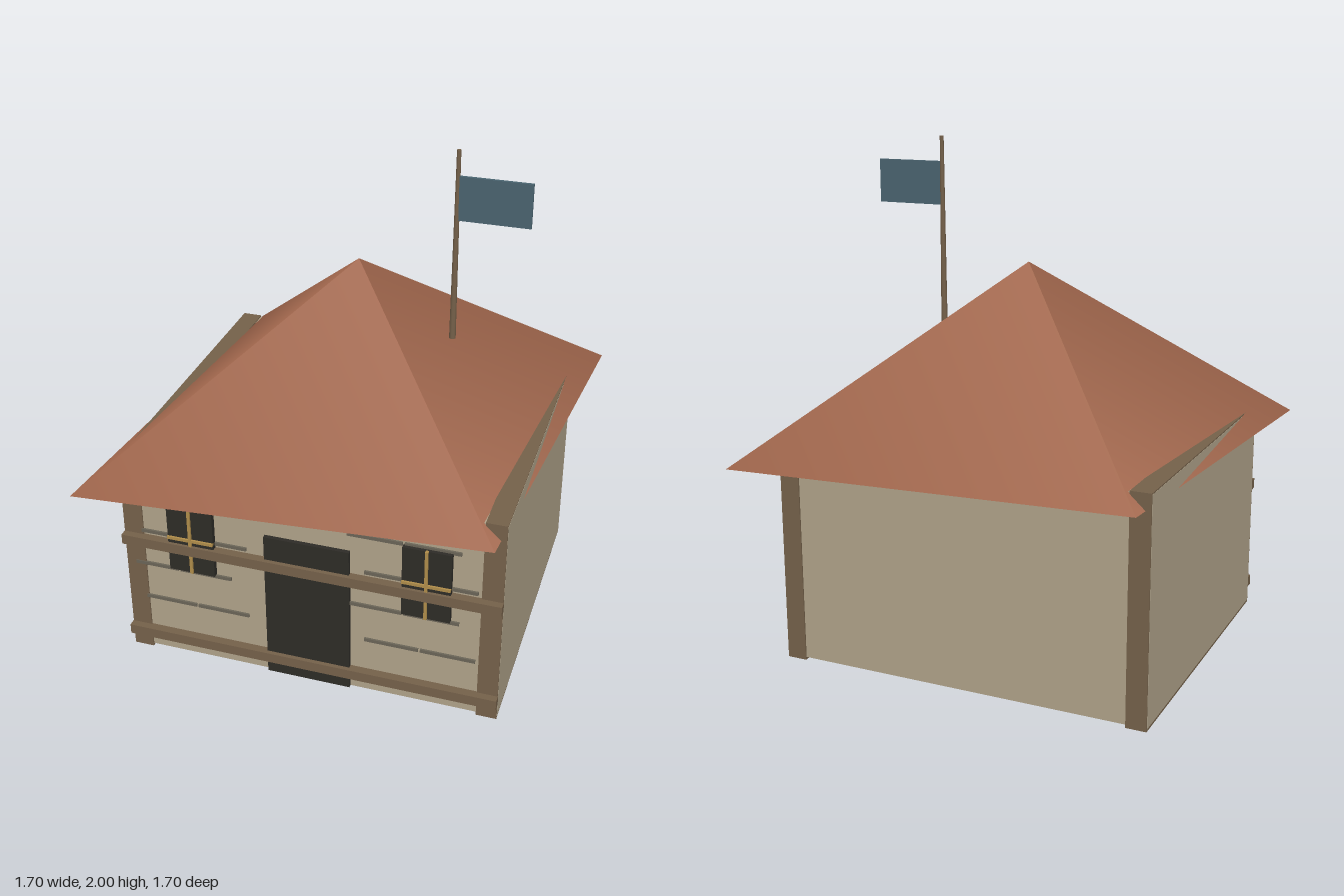
import * as THREE from 'three';

const mat = (color) => new THREE.MeshStandardMaterial({ color });

export function createModel() {
  const house = new THREE.Group();
  house.name = 'cottage';

  const plaster = mat(0xb0a38a);
  const timber = mat(0x75614a);
  const dark = mat(0x2e2c27);
  const mortar = mat(0x6b6558);
  const brass = mat(0xb08d4a);
  const clay = mat(0xa0664c);
  const cloth = mat(0x4a6470);

  const add = (name, geometry, material, parent = house) => {
    const mesh = new THREE.Mesh(geometry, material);
    mesh.name = name;
    parent.add(mesh);
    return mesh;
  };

  // Box given by its min and max on each axis
  const box = (name, [x0, x1], [y0, y1], [z0, z1], material, parent) => {
    const mesh = add(name, new THREE.BoxGeometry(x1 - x0, y1 - y0, z1 - z0), material, parent);
    mesh.position.set((x0 + x1) / 2, (y0 + y1) / 2, (z0 + z1) / 2);
    return mesh;
  };

  // Plastered body with a timber slab framing each side
  box('walls', [-0.75, 0.75], [0.01, 0.88], [-0.64, 0.64], plaster);
  for (const s of [-1, 1]) {
    const slab = box('sideTimber', [-0.04, 0.04], [0, 0.885], [-0.645, 0.645], timber);
    slab.position.x = s * 0.709;
  }

  // Skewed four-sided roof
  const roof = new THREE.ConeGeometry(1, 0.71, 4);
  roof.scale(1.02, 1, 1.2).rotateY(-Math.PI / 4);
  add('roof', roof, clay).position.y = 1.175;

  // Front rails
  for (const y of [0.09, 0.53]) {
    box('frontRail', [-0.75, 0.75], [y - 0.021, y + 0.021], [0.64, 0.674], timber);
  }

  // Door
  box('door', [-0.168, 0.168], [0.012, 0.652], [0.63, 0.657], dark);

  // Windows with crossed glazing bars
  for (const s of [-1, 1]) {
    const frame = new THREE.Group();
    frame.name = 'window';
    frame.position.x = s * 0.465;
    house.add(frame);
    box('pane', [-0.093, 0.093], [0.425, 0.728], [0.63, 0.662], dark, frame);
    box('verticalBar', [-0.006, 0.006], [0.425, 0.728], [0.655, 0.67], brass, frame);
    box('horizontalBar', [-0.093, 0.093], [0.57, 0.582], [0.655, 0.67], brass, frame);
  }

  // Staggered mortar lines on the front wall
  [0.255, 0.415, 0.57, 0.73].forEach((y, row) => {
    const shift = row % 2 ? -0.067 : 0;
    for (const x of [-0.57, -0.35, 0.33, 0.55]) {
      const left = Math.max(x + shift - 0.106, -0.71);
      box('mortarLine', [left, x + shift + 0.106], [y - 0.007, y + 0.007], [0.63, 0.648], mortar);
    }
  });

  // Flag on a tapered pole
  const pole = add('flagPole', new THREE.CylinderGeometry(0.008, 0.013, 0.75, 8), timber);
  pole.position.set(0.373, 1.625, 0);
  box('flag', [0.378, 0.65], [1.732, 1.902], [-0.006, 0.006], cloth);

  return house;
}
